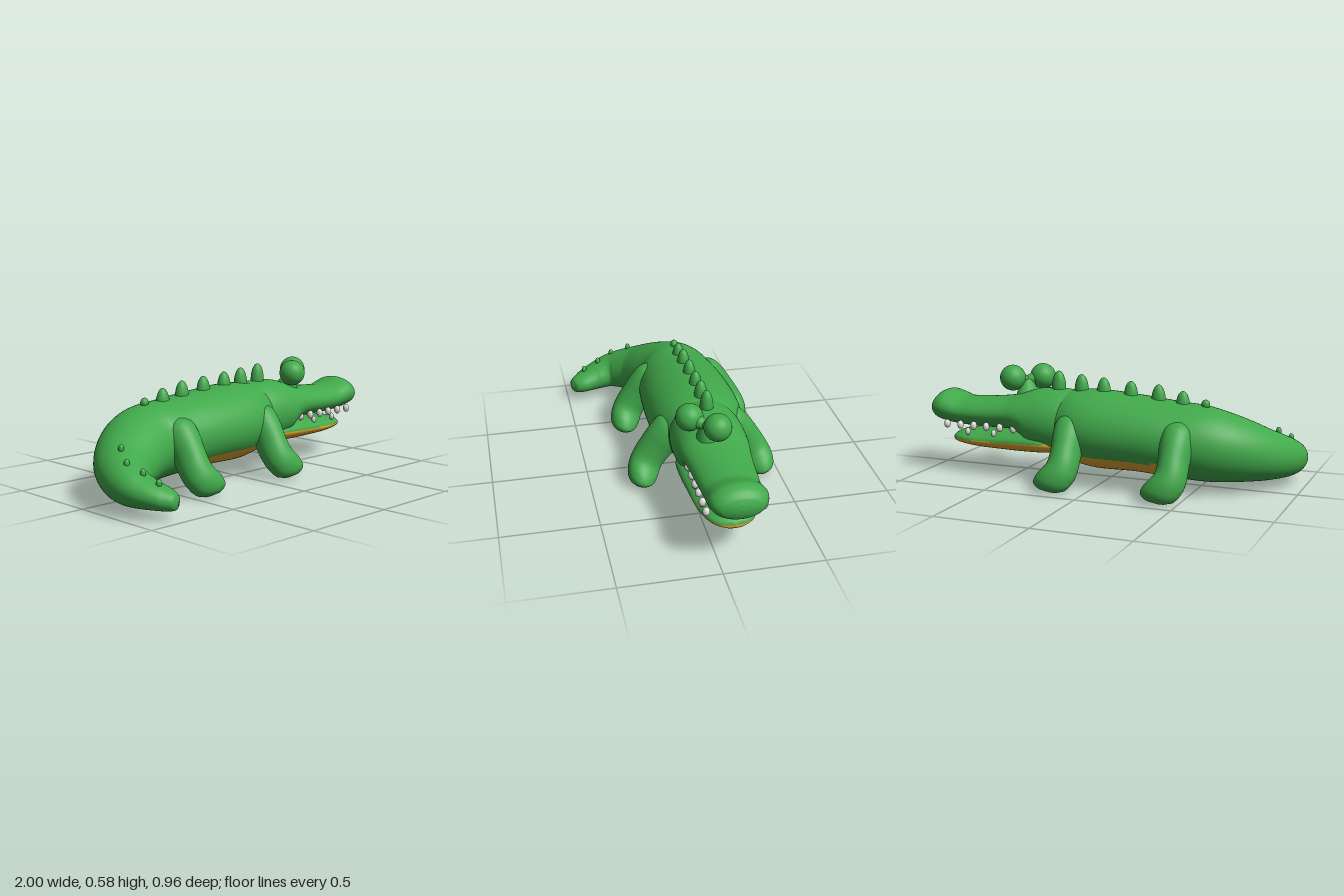
import * as THREE from 'three';

const MID = -0.086; // z of the body's mirror plane

const green = new THREE.MeshStandardMaterial({ color: 0x41a94b });
green.name = 'skin green';
const ochre = new THREE.MeshStandardMaterial({ color: 0xe2a82e });
ochre.name = 'belly ochre';
const white = new THREE.MeshStandardMaterial({ color: 0xe4d9d9 });
white.name = 'tooth white';

// Smooth loft through rings [x, z, top, bottom, halfWidth]; isBelly(x, y) picks the second colour
function loft(name, rings, steps, isBelly = () => false) {
  const centre = new THREE.CatmullRomCurve3(rings.map(([x, z, t, b]) => new THREE.Vector3(x, (t + b) / 2, z)));
  const size = new THREE.CatmullRomCurve3(rings.map(([x, , t, b, w]) => new THREE.Vector3(w, (t - b) / 2, x)));
  const N = 64, pos = [], skin = [], belly = [];
  for (let i = 0; i <= steps; i++) {
    const c = centre.getPoint(i / steps), s = size.getPoint(i / steps);
    const t = centre.getTangent(i / steps).setY(0).normalize();
    const w = Math.max(s.x, 0.0005), h = Math.max(s.y, 0.0005);
    for (let j = 0; j < N; j++) {
      const a = (j / N) * Math.PI * 2, k = Math.sin(a) * w;
      pos.push(c.x - t.z * k, c.y + Math.cos(a) * h, c.z + t.x * k);
    }
  }
  for (let i = 0; i < steps; i++) for (let j = 0; j < N; j++) {
    const k = (j + 1) % N, a = i * N + j, b = i * N + k, c = a + N, d = b + N;
    const x = (pos[a * 3] + pos[d * 3]) / 2, y = (pos[a * 3 + 1] + pos[d * 3 + 1]) / 2;
    (isBelly(x, y) ? belly : skin).push(a, b, c, b, d, c);
  }
  const g = new THREE.BufferGeometry();
  g.setAttribute('position', new THREE.Float32BufferAttribute(pos, 3));
  g.setIndex([...skin, ...belly]);
  g.addGroup(0, skin.length, 0);
  g.addGroup(skin.length, belly.length, 1);
  g.computeVertexNormals();
  const m = new THREE.Mesh(g, [green, ochre]);
  m.name = name;
  return m;
}

function ball(name, mat, x, y, z, rx, ry = rx, rz = rx) {
  const m = new THREE.Mesh(new THREE.SphereGeometry(1, 28, 20), mat);
  m.name = name;
  m.position.set(x, y, z);
  m.scale.set(rx, ry, rz);
  return m;
}

// Tapered rod between two points
function rod(name, a, b, ra, rb) {
  const p = new THREE.Vector3(...a), q = new THREE.Vector3(...b), d = q.clone().sub(p);
  const m = new THREE.Mesh(new THREE.CylinderGeometry(rb, ra, d.length(), 20), green);
  m.name = name;
  m.position.copy(p).add(q).multiplyScalar(0.5);
  m.quaternion.setFromUnitVectors(new THREE.Vector3(0, 1, 0), d.normalize());
  return m;
}

// Splayed leg lofted downwards into a forward-pointing foot: [-y, outward, front, back, halfWidth]
function leg(name, dx, side) {
  const rings = [
    [-0.38, 0.11, 0.15, 0.1, 0.02], [-0.33, 0.145, 0.205, 0.05, 0.08], [-0.27, 0.185, 0.21, 0.042, 0.093],
    [-0.2, 0.235, 0.2, 0.045, 0.09], [-0.135, 0.28, 0.205, 0.042, 0.085], [-0.085, 0.308, 0.25, 0.05, 0.082],
    [-0.05, 0.322, 0.262, 0.068, 0.072], [-0.022, 0.33, 0.228, 0.095, 0.048], [-0.01, 0.333, 0.17, 0.14, 0],
  ].map(([x, d, f, b, w]) => [x, side * d, f, b, w]);
  const m = loft(name, rings, 50);
  m.rotation.z = -Math.PI / 2;
  m.position.set(dx, 0, MID);
  return m;
}

export function createModel() {
  const model = new THREE.Group();
  model.name = 'crocodile';

  // Trunk running back into the curled tail
  model.add(loft('bodyAndTail', [
    [-0.82, 0.478, 0.1, 0.09, 0.0], [-0.826, 0.465, 0.135, 0.06, 0.04], [-0.84, 0.42, 0.16, 0.052, 0.07],
    [-0.875, 0.33, 0.2, 0.05, 0.092], [-0.89, 0.23, 0.25, 0.05, 0.107], [-0.83, 0.11, 0.31, 0.052, 0.138],
    [-0.72, 0.01, 0.38, 0.055, 0.175], [-0.57, -0.07, 0.438, 0.06, 0.205], [-0.4, MID, 0.455, 0.072, 0.23],
    [-0.2, MID, 0.474, 0.085, 0.245], [0.02, MID, 0.49, 0.085, 0.245], [0.12, MID, 0.487, 0.1, 0.227],
    [0.2, MID, 0.474, 0.125, 0.188], [0.3, MID, 0.42, 0.18, 0.13], [0.36, MID, 0.33, 0.28, 0.02],
  ], 130, (x, y) => x > -0.37 && y < 0.172));

  // Skull tapering into the upper jaw, with a raised nose and pale throat
  model.add(loft('headAndSnout', [
    [0.08, MID, 0.44, 0.16, 0.13], [0.2, MID, 0.48, 0.14, 0.178], [0.3, MID, 0.484, 0.145, 0.19],
    [0.38, MID, 0.476, 0.16, 0.187], [0.45, MID, 0.454, 0.225, 0.178], [0.52, MID, 0.434, 0.25, 0.166],
    [0.62, MID, 0.42, 0.252, 0.155], [0.72, MID, 0.413, 0.252, 0.147], [0.81, MID, 0.412, 0.255, 0.141],
    [0.87, MID, 0.432, 0.26, 0.143], [0.915, MID, 0.443, 0.267, 0.143], [0.955, MID, 0.43, 0.277, 0.13],
    [0.983, MID, 0.405, 0.295, 0.1], [0.996, MID, 0.375, 0.325, 0.05], [1.0, MID, 0.352, 0.348, 0.0],
  ], 110, (x, y) => (x > 0.19 && y < 0.208) || (x > 0.46 && x < 0.54 && y < 0.268)));

  // Lower jaw with a pale underside
  model.add(loft('lowerJaw', [
    [0.2, MID, 0.24, 0.16, 0.1], [0.3, MID, 0.27, 0.142, 0.165], [0.42, MID, 0.27, 0.138, 0.172],
    [0.55, MID, 0.258, 0.139, 0.162], [0.68, MID, 0.24, 0.143, 0.15], [0.78, MID, 0.235, 0.15, 0.13],
    [0.84, MID, 0.224, 0.157, 0.1], [0.87, MID, 0.208, 0.165, 0.06], [0.882, MID, 0.19, 0.178, 0.0],
  ], 80, (x, y) => y < 0.212 - (x - 0.2) * 0.035));

  // Legs
  for (const [side, label] of [[1, 'Left'], [-1, 'Right']]) {
    model.add(leg('front' + label + 'Leg', 0, side), leg('back' + label + 'Leg', -0.575, side));
  }

  // Bulging eyes on a shared forked stalk
  const eyes = new THREE.Group();
  eyes.name = 'eyes';
  const hub = [0.478, 0.505, -0.03];
  for (const e of [[0.415, 0.522, 0.035], [0.54, 0.522, -0.077]]) {
    eyes.add(ball('eye', green, ...e, 0.069), rod('eyeStalk', hub, e, 0.024, 0.052));
  }
  eyes.add(rod('stalkBase', [0.46, 0.41, -0.055], hub, 0.075, 0.03));
  model.add(eyes);

  // Back ridge: [x, tip height]
  for (const [x, y] of [[-0.42, 0.513], [-0.29, 0.538], [-0.14, 0.547], [0.01, 0.556], [0.135, 0.566], [0.265, 0.577]]) {
    model.add(ball('backSpike', green, x, y - 0.09, MID, 0.038, 0.09, 0.034));
  }
  model.add(ball('backSpike', green, -0.54, 0.452, MID, 0.022, 0.025, 0.02));

  // Tail ridge
  for (const [x, y, z] of [[-0.865, 0.3, 0.13], [-0.91, 0.25, 0.225], [-0.885, 0.215, 0.31], [-0.865, 0.178, 0.395]]) {
    model.add(ball('tailSpike', green, x, y, z, 0.014, 0.022, 0.014));
  }

  // Teeth on both sides
  for (const side of [1, -1]) {
    for (const x of [0.47, 0.55, 0.63, 0.705, 0.785, 0.865]) {
      model.add(ball('upperTooth', white, x, 0.275, MID + side * 0.139, 0.017, 0.023, 0.018));
    }
    for (const x of [0.59, 0.745]) {
      model.add(ball('lowerTooth', white, x, 0.24, MID + side * 0.131, 0.013, 0.02, 0.014));
    }
  }
  return model;
}
